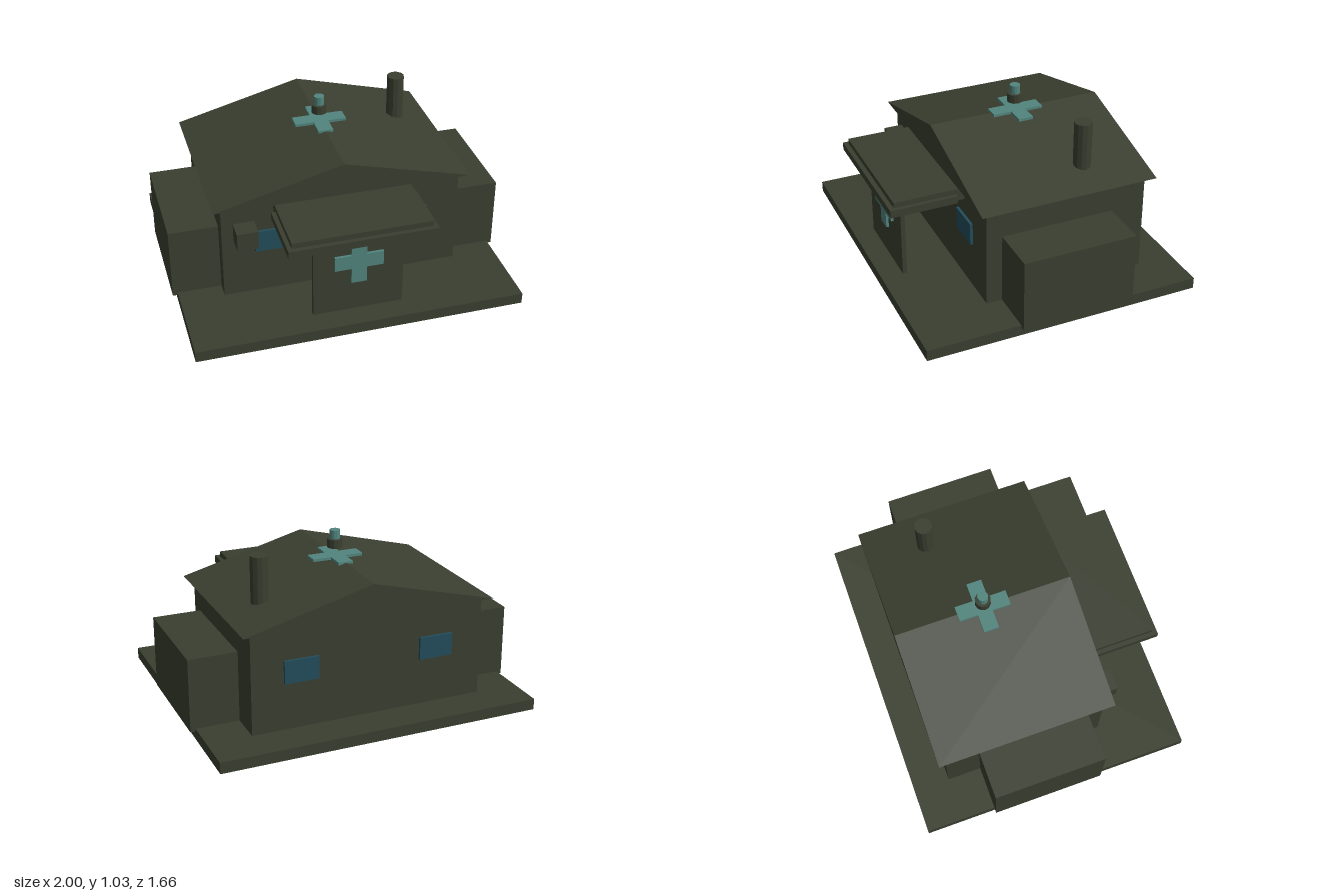
import * as THREE from 'three';

export function createModel() {
  const model = new THREE.Group();
  model.name = 'fieldClinic';

  const material = (name, color) => {
    const m = new THREE.MeshStandardMaterial({ color });
    m.name = name;
    return m;
  };
  const olive = material('darkOlive', 0x3a3f30);
  const teal = material('paleTeal', 0x52857e);
  const glass = material('blueGlass', 0x234d5b);

  const add = (name, geometry, mat, parent = model) => {
    const mesh = new THREE.Mesh(geometry, mat);
    mesh.name = name;
    parent.add(mesh);
    return mesh;
  };
  // Box given by its limits on each axis
  const box = (name, mat, [x0, x1], [y0, y1], [z0, z1]) => {
    const mesh = add(name, new THREE.BoxGeometry(x1 - x0, y1 - y0, z1 - z0), mat);
    mesh.position.set((x0 + x1) / 2, (y0 + y1) / 2, (z0 + z1) / 2);
    return mesh;
  };
  // Faceted upright cylinder
  const post = (name, mat, r, x, z, y0, y1) => {
    const geometry = new THREE.CylinderGeometry(r, r, y1 - y0, 12).toNonIndexed();
    geometry.computeVertexNormals();
    add(name, geometry, mat).position.set(x, (y0 + y1) / 2, z);
  };
  // Plus-shaped plate of half length a, half width b and depth d
  const cross = (name, a, b, d) => {
    const pts = [[b, a], [-b, a], [-b, b], [-a, b], [-a, -b], [-b, -b],
      [-b, -a], [b, -a], [b, -b], [a, -b], [a, b], [b, b]];
    const shape = new THREE.Shape(pts.map(([x, y]) => new THREE.Vector2(x, y)));
    return add(name, new THREE.ExtrudeGeometry(shape, { depth: d, bevelEnabled: false }), teal);
  };

  // Ground slab, main block and side wings
  box('baseSlab', olive, [-0.97, 0.97], [0, 0.067], [-0.83, 0.83]);
  box('mainBlock', olive, [-0.71, 0.71], [0.06, 0.672], [-0.61, 0.37]);
  box('leftWing', olive, [0.7, 1], [0.05, 0.49], [-0.405, 0.275]);
  box('rightWing', olive, [-1, -0.7], [0.05, 0.49], [-0.405, 0.275]);

  // Gabled roof with its ridge running front to back
  const gable = new THREE.Shape();
  gable.moveTo(-0.762, 0.67);
  gable.lineTo(0.762, 0.67);
  gable.lineTo(0, 0.87);
  gable.closePath();
  add('roof', new THREE.ExtrudeGeometry(gable, { depth: 1.07, bevelEnabled: false }), olive)
    .position.z = -0.657;

  // Entrance canopy, its trim and the free-standing door panel
  box('canopy', olive, [-0.405, 0.405], [0.587, 0.662], [0.36, 0.79]);
  box('canopyTrim', olive, [-0.43, 0.43], [0.585, 0.63], [0.42, 0.818]);
  box('doorPanel', olive, [-0.265, 0.265], [0.083, 0.565], [0.682, 0.708]);
  cross('doorCross', 0.142, 0.045, 0.017).position.set(0, 0.42, 0.707);

  // Windows on the front and back walls
  for (const x of [-0.415, 0.415]) {
    for (const [side, z] of [['front', 0.377], ['back', -0.617]]) {
      box(side + 'Window', glass, [x - 0.103, x + 0.103], [0.35, 0.485], [z - 0.009, z + 0.009]);
    }
  }

  // Wall unit beside the entrance
  box('wallUnit', olive, [-0.642, -0.518], [0.443, 0.555], [0.36, 0.483]);

  // Roof cross, beacon and chimney
  const roofCross = cross('roofCross', 0.155, 0.045, 0.016);
  roofCross.rotation.x = -Math.PI / 2;
  roofCross.position.set(0, 0.861, -0.124);
  post('beaconBase', olive, 0.046, 0, -0.122, 0.921, 0.973);
  post('beaconLamp', teal, 0.031, 0, -0.122, 0.972, 1.026);
  post('chimney', olive, 0.052, 0.535, -0.297, 0.7, 0.997);

  return model;
}
